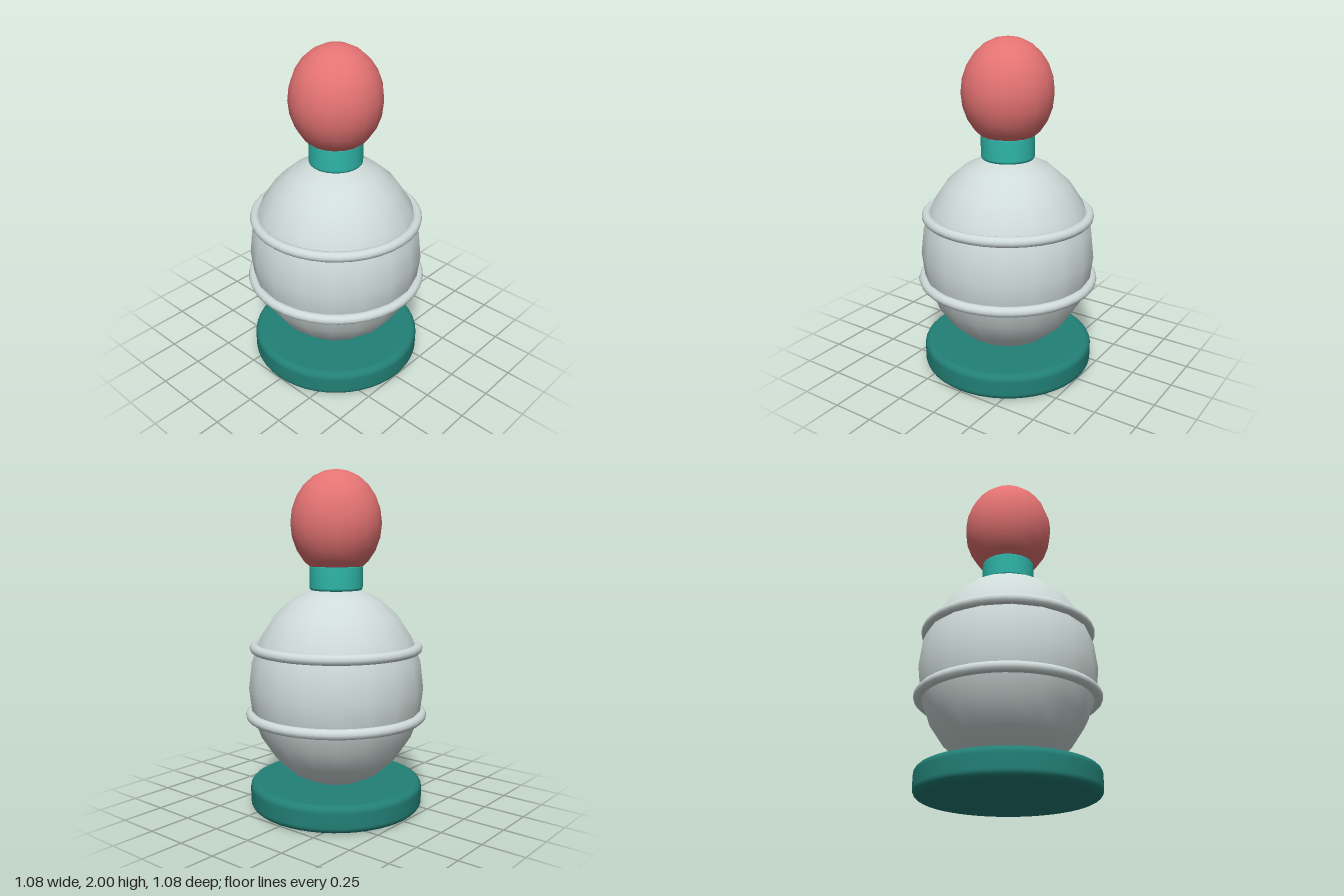
import * as THREE from 'three';

const mat = (name, color) => {
  const m = new THREE.MeshStandardMaterial({ color });
  m.name = name;
  return m;
};

// Disc with rounded rims, standing on y = 0
function roundedDisc(radius, height, bevel) {
  const pts = [new THREE.Vector2(0, 0)];
  const steps = 5;
  for (let i = 0; i <= steps; i++) {
    const a = (i / steps) * Math.PI / 2;
    pts.push(new THREE.Vector2(radius - bevel + bevel * Math.sin(a), bevel - bevel * Math.cos(a)));
  }
  for (let i = 0; i <= steps; i++) {
    const a = (i / steps) * Math.PI / 2;
    pts.push(new THREE.Vector2(radius - bevel + bevel * Math.cos(a), height - bevel + bevel * Math.sin(a)));
  }
  pts.push(new THREE.Vector2(0, height));
  return new THREE.LatheGeometry(pts, 48);
}

// Egg-like ball with a vertex column facing the front
function ellipsoid(radius, halfHeight) {
  return new THREE.SphereGeometry(1, 18, 12)
    .rotateY(Math.PI / 2)
    .scale(radius, halfHeight, radius);
}

export function createModel() {
  const group = new THREE.Group();
  const paleGrey = mat('pale grey', 0xcfdbd9);
  const red = mat('soft red', 0xe57373);
  const darkTeal = mat('dark teal', 0x228076);
  const teal = mat('teal', 0x2fb5a8);

  const add = (name, geometry, material, y) => {
    const mesh = new THREE.Mesh(geometry, material);
    mesh.name = name;
    mesh.position.y = y;
    group.add(mesh);
  };

  add('base', roundedDisc(0.517, 0.16, 0.04), darkTeal, 0);
  add('body', ellipsoid(0.52, 0.6), paleGrey, 0.73);
  add('neck', roundedDisc(0.157, 0.155, 0.02), teal, 1.3);
  add('head', ellipsoid(0.268, 0.31), red, 1.69);

  // Rings around the body
  const rings = [['lowerRing', 0.51, 0.565], ['upperRing', 0.482, 0.965]];
  for (const [name, radius, y] of rings) {
    add(name, new THREE.TorusGeometry(radius, 0.03, 12, 40).rotateX(Math.PI / 2), paleGrey, y);
  }

  return group;
}
